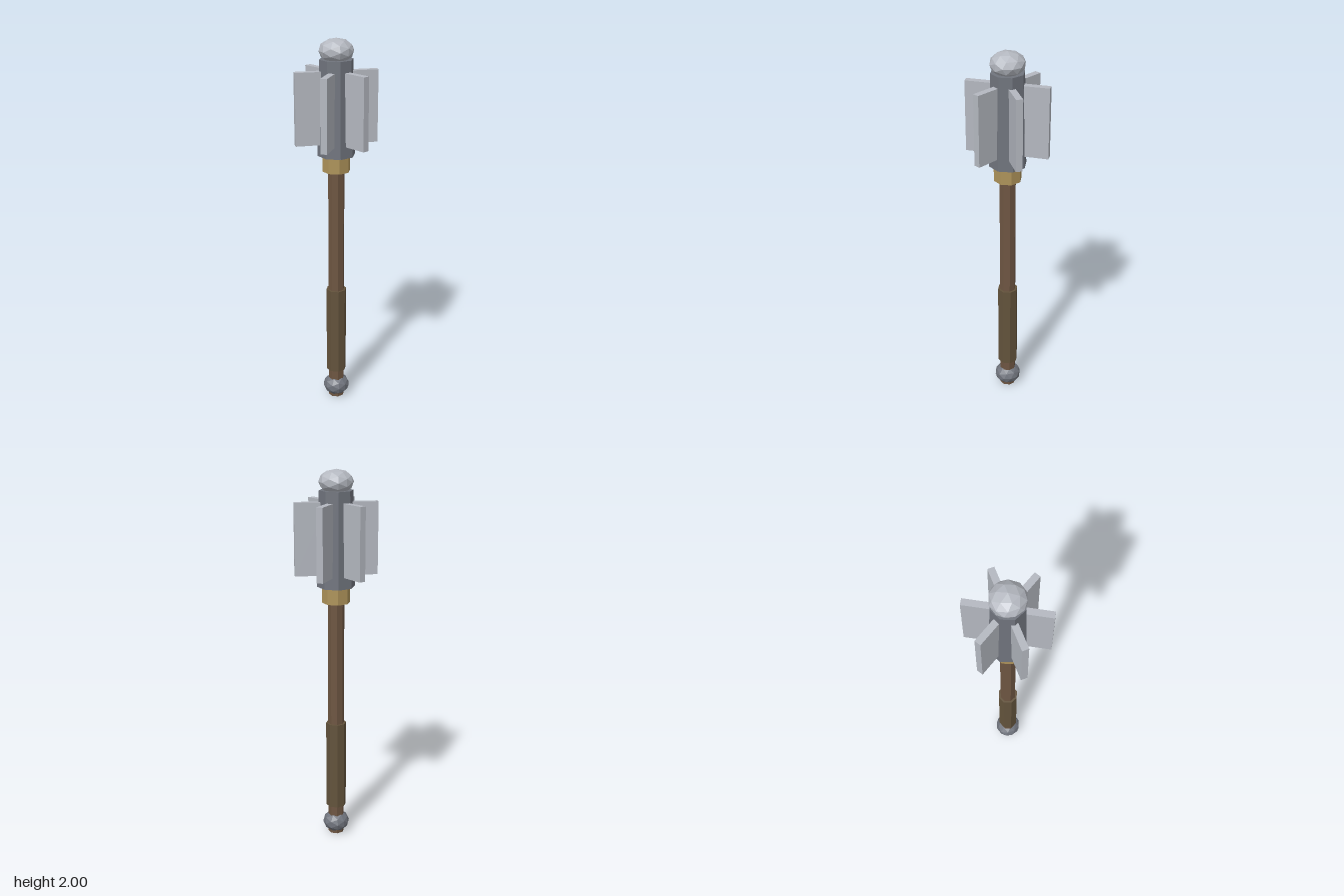
import * as THREE from 'three';

function material(name, color) {
  const m = new THREE.MeshStandardMaterial({ color, flatShading: true });
  m.name = name;
  return m;
}

export function createModel() {
  const group = new THREE.Group();
  group.name = 'flangedMace';

  const steel = material('light steel', 0xb4b8c0);
  const iron = material('dark iron', 0x70747d);
  const wood = material('brown wood', 0x6e5642);
  const leather = material('dark leather', 0x63533c);
  const brass = material('brass', 0xae935a);

  const add = (name, geometry, mat, y) => {
    const mesh = new THREE.Mesh(geometry, mat);
    mesh.name = name;
    mesh.position.y = y;
    group.add(mesh);
    return mesh;
  };

  // Eight-sided section between two heights
  const section = (name, rTop, rBottom, y0, y1, mat) =>
    add(name, new THREE.CylinderGeometry(rTop, rBottom, y1 - y0, 8), mat, (y0 + y1) / 2);

  // Faceted, slightly squashed ball
  const ball = (name, r, ry, y, mat) =>
    add(name, new THREE.IcosahedronGeometry(r, 1).scale(1, ry / r, 1), mat, y);

  // Handle
  section('shaft', 0.043, 0.043, 0, 1.36, wood);
  section('grip', 0.054, 0.054, 0.165, 0.652, leather);
  ball('pommel', 0.072, 0.058, 0.062, iron);

  // Head
  section('collar', 0.073, 0.073, 1.32, 1.407, brass);
  section('headCore', 0.087, 0.098, 1.405, 1.896, iron);
  ball('cap', 0.09, 0.062, 1.938, steel);

  // Six blades spread around the head
  const inner = 0.05, outer = 0.213;
  const blade = new THREE.BoxGeometry(outer - inner, 0.373, 0.034);
  blade.translate((inner + outer) / 2, 0, 0);
  for (let i = 0; i < 6; i++) {
    add('flange' + (i + 1), blade, steel, 1.652).rotation.y = (i * Math.PI) / 3;
  }

  return group;
}
